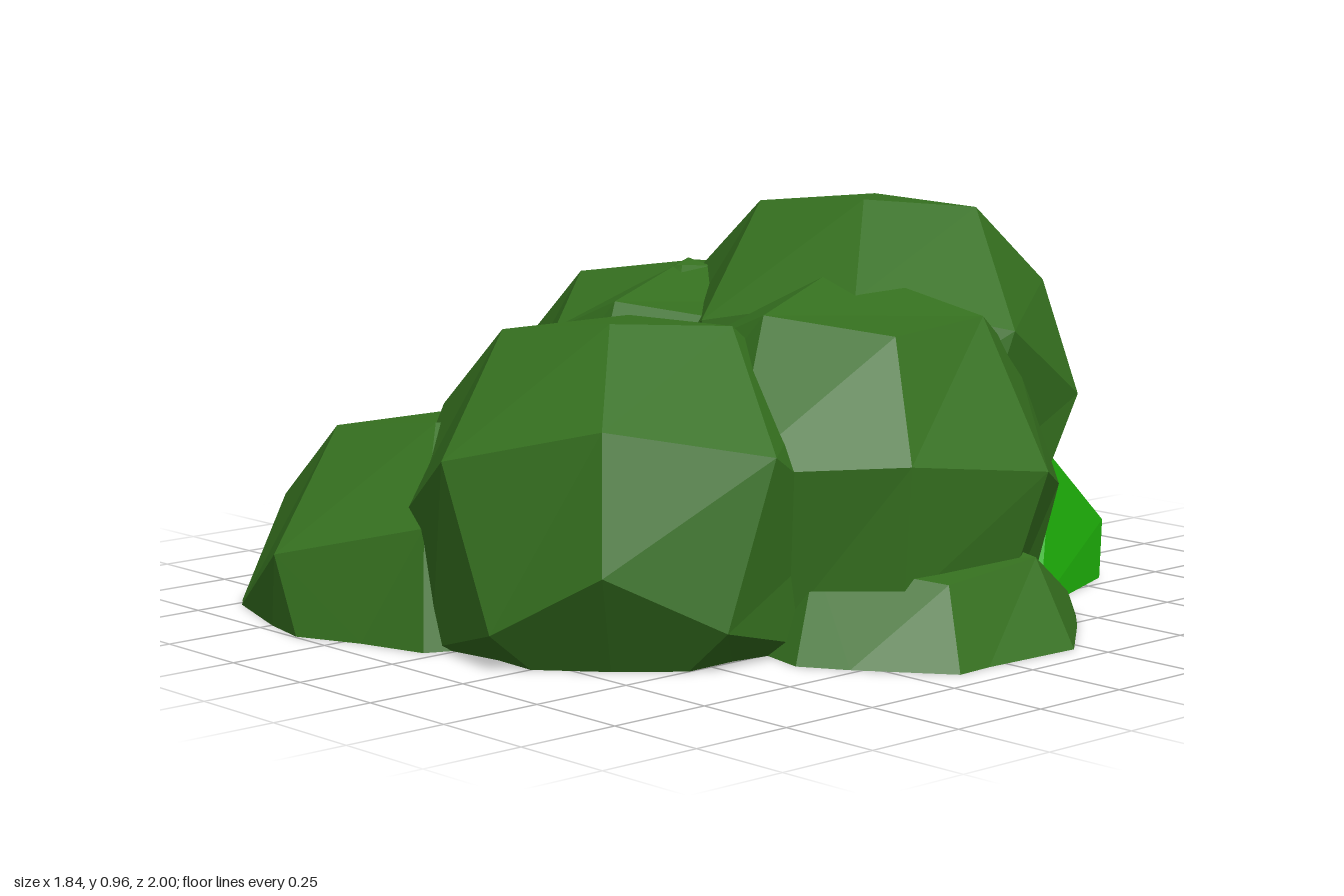
import * as THREE from 'three';

const leaf = new THREE.MeshStandardMaterial({ color: 0x35701f, side: THREE.DoubleSide });
leaf.name = 'dark leaf green';
const bright = new THREE.MeshStandardMaterial({ color: 0x1eb009, side: THREE.DoubleSide });
bright.name = 'bright leaf green';

// Axis pairs (pole, side) that tilt a clump
const TILTED = [[-0.39, 0.85, -0.38], [0.91, 0.41, -0.06]];
const TURNED = [[-0.33, 0.85, -0.4], [0.94, 0.35, -0.02]];
const UPRIGHT = [[-0.2, 0.96, -0.15], [0.94, 0.16, -0.29]];
const LEVEL = [[0, 1, 0], [0.98, 0, -0.15]];
const LEANING = [[0.05, 0.89, -0.45], [0.99, -0.04, 0.12]];

const clumps = [
  { name: 'topClump', c: [0.08, 0.485, -0.39], r: 0.52, axes: TURNED },
  { name: 'frontClump', c: [0.115, 0.26, 0.42], r: 0.522, axes: TILTED },
  { name: 'rearRightClump', c: [-0.42, 0.275, -0.28], r: 0.535, axes: TILTED },
  { name: 'middleClump', c: [-0.24, 0.315, -0.12], r: 0.48, axes: UPRIGHT },
  { name: 'leftClump', c: [0.33, 0.31, -0.09], r: 0.52, axes: UPRIGHT },
  { name: 'lowLeftClump', c: [0.53, -0.22, -0.06], r: 0.52, axes: UPRIGHT },
  { name: 'frontRightClump', c: [-0.39, -0.01, 0.515], r: 0.52, axes: TILTED, cap: true },
  { name: 'rearUnderClump', c: [0.09, 0.01, -0.52], r: 0.51, axes: LEANING, cap: true, mat: bright },
  { name: 'rightUnderClump', c: [-0.45, 0, -0.31], r: 0.46, axes: LEVEL, cap: true, mat: bright },
];

function meshFrom(points, material, name) {
  const geo = new THREE.BufferGeometry().setFromPoints(points);
  geo.computeVertexNormals();
  const mesh = new THREE.Mesh(geo, material);
  mesh.name = name;
  return mesh;
}

// Keep the part of a triangle above the ground; collect the cut points
function clipToGround(tri, out, rim) {
  const poly = [];
  tri.forEach((a, i) => {
    const b = tri[(i + 1) % 3];
    if (a.y >= 0) poly.push(a);
    if ((a.y >= 0) !== (b.y >= 0)) {
      const p = a.clone().lerp(b, a.y / (a.y - b.y));
      p.y = 0;
      poly.push(p);
      rim.push(p);
    }
  });
  for (let i = 1; i + 1 < poly.length; i++) out.push(poly[0], poly[i], poly[i + 1]);
}

// A faceted ball of 24 panels, tilted and cut flat at the ground
function makeClump({ name, c, r, axes, cap, mat = leaf }) {
  const group = new THREE.Group();
  group.name = name;
  const center = new THREE.Vector3(...c);
  const pole = new THREE.Vector3(...axes[0]).normalize();
  const side = new THREE.Vector3(...axes[1]);
  side.addScaledVector(pole, -side.dot(pole)).normalize();
  const basis = new THREE.Matrix4().makeBasis(side, pole, side.clone().cross(pole));

  const pos = new THREE.BoxGeometry(1, 1, 1, 2, 2, 2).toNonIndexed().attributes.position;
  const point = (i) => new THREE.Vector3().fromBufferAttribute(pos, i)
    .setLength(r).applyMatrix4(basis).add(center);
  const faces = [], rim = [];
  for (let i = 0; i < pos.count; i += 3) {
    clipToGround([point(i), point(i + 1), point(i + 2)], faces, rim);
  }
  group.add(meshFrom(faces, mat, name + 'Leaves'));

  // Flat underside
  if (cap) {
    const hub = new THREE.Vector3();
    rim.forEach((p) => hub.addScaledVector(p, 1 / rim.length));
    const angle = (p) => Math.atan2(p.z - hub.z, p.x - hub.x);
    rim.sort((a, b) => angle(a) - angle(b));
    const fan = [];
    rim.forEach((p, i) => fan.push(hub, p, rim[(i + 1) % rim.length]));
    group.add(meshFrom(fan, bright, name + 'Underside'));
  }
  return group;
}

export function createModel() {
  const bush = new THREE.Group();
  bush.name = 'bush';
  clumps.forEach((spec) => bush.add(makeClump(spec)));
  return bush;
}
